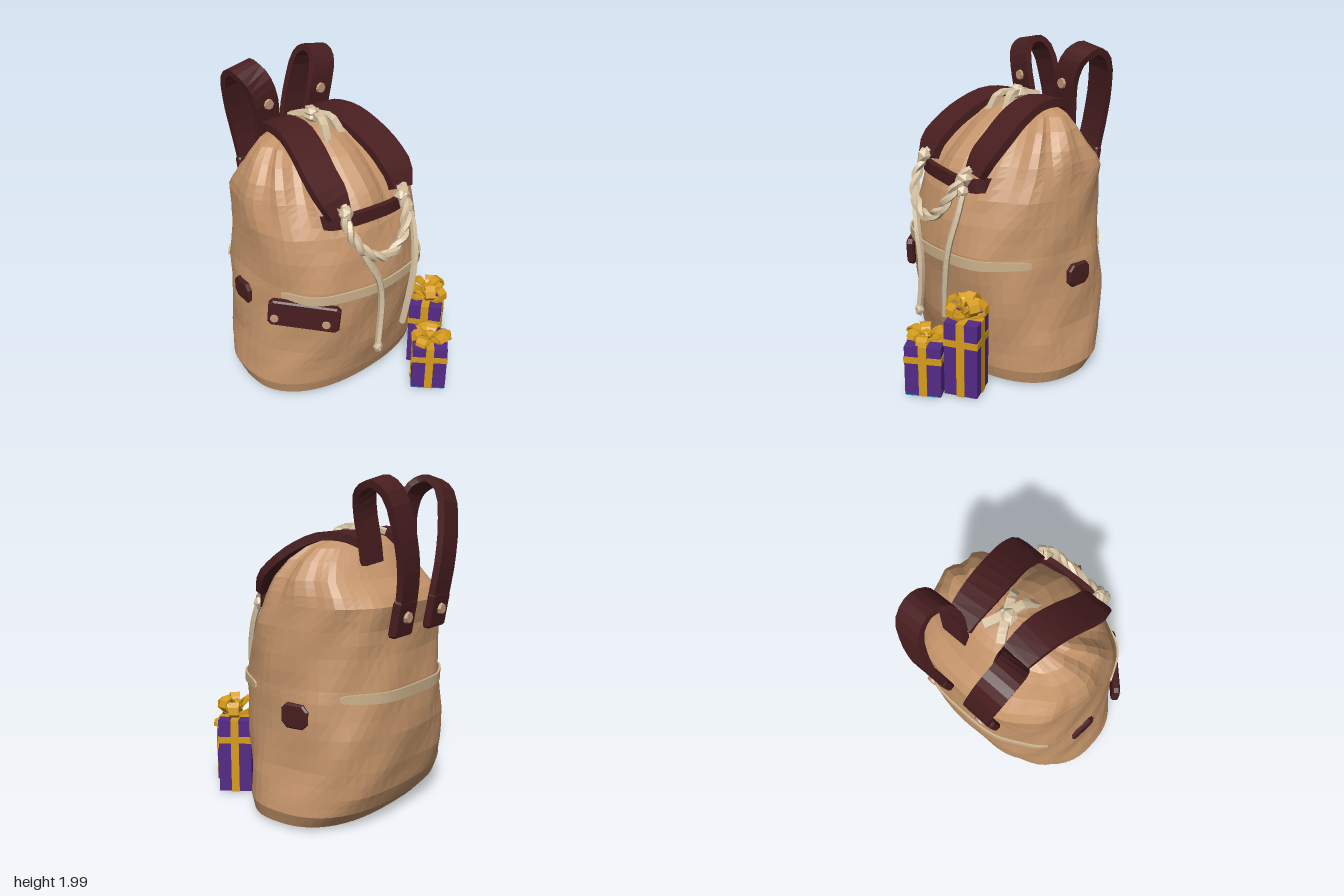
import * as THREE from 'three';

const V = (x, y, z) => new THREE.Vector3(x, y, z);
const mat = (name, color) => Object.assign(new THREE.MeshStandardMaterial({ color }), { name });

// faceted copy of any geometry
function flat(geo) {
  const g = geo.index ? geo.toNonIndexed() : geo;
  g.computeVertexNormals();
  return g;
}

// skin over equal-length rings, capped at both ends
function loft(rings) {
  const n = rings[0].length, m = rings.length, pos = [], idx = [];
  rings.forEach(r => r.forEach(p => pos.push(p.x, p.y, p.z)));
  for (let i = 0; i < m - 1; i++) for (let j = 0; j < n; j++) {
    const a = i * n + j, b = i * n + (j + 1) % n;
    idx.push(a, b, b + n, a, b + n, a + n);
  }
  [0, m - 1].forEach(i => {
    const c = rings[i].reduce((s, p) => s.add(p), V(0, 0, 0)).divideScalar(n);
    const k = pos.push(c.x, c.y, c.z) / 3 - 1;
    for (let j = 0; j < n; j++) {
      const a = i * n + j, b = i * n + (j + 1) % n;
      if (i) idx.push(k, a, b); else idx.push(k, b, a);
    }
  });
  const g = new THREE.BufferGeometry();
  g.setAttribute('position', new THREE.Float32BufferAttribute(pos, 3));
  g.setIndex(idx);
  return flat(g);
}

// strap of rectangular section along a smooth path; side is its width direction
function band(pts, width, thick, side, steps = 16, taper = () => 1) {
  const curve = new THREE.CatmullRomCurve3(pts.map(p => V(...p)));
  const rings = [];
  for (let i = 0; i <= steps; i++) {
    const u = i / steps, p = curve.getPoint(u), t = curve.getTangent(u);
    const w = side.clone().addScaledVector(t, -side.dot(t)).normalize();
    const nrm = t.cross(w).multiplyScalar(thick / 2);
    w.multiplyScalar(width * taper(u) / 2);
    rings.push([[1, 1], [-1, 1], [-1, -1], [1, -1]].map(([a, b]) =>
      p.clone().addScaledVector(w, a).addScaledVector(nrm, b)));
  }
  return loft(rings);
}

// two-strand twisted rope
function ropeStrands(pts, r, turns) {
  const c = new THREE.CatmullRomCurve3(pts.map(p => V(...p))), n = 48;
  const f = c.computeFrenetFrames(n);
  return [0, Math.PI].map(ph => {
    const path = [];
    for (let i = 0; i <= n; i++) {
      const a = ph + turns * 2 * Math.PI * i / n;
      path.push(c.getPointAt(i / n).addScaledVector(f.normals[i], Math.cos(a) * r * 0.5)
        .addScaledVector(f.binormals[i], Math.sin(a) * r * 0.5));
    }
    return flat(new THREE.TubeGeometry(new THREE.CatmullRomCurve3(path), 64, r * 0.8, 5));
  });
}

const cord = (pts, r) => flat(new THREE.TubeGeometry(
  new THREE.CatmullRomCurve3(pts.map(p => V(...p))), 14, r, 5));

// patch with cut corners, facing +z
function plate(w, h, d, c) {
  const x = w / 2, y = h / 2;
  const s = new THREE.Shape([[x - c, -y], [x, c - y], [x, y - c], [x - c, y], [c - x, y], [-x, y - c], [-x, c - y], [c - x, -y]]
    .map(p => new THREE.Vector2(...p)));
  return flat(new THREE.ExtrudeGeometry(s, { depth: d - 0.02, bevelSize: 0.01, bevelThickness: 0.01, bevelSegments: 1, bevelOffset: -0.01 }));
}

// bag cross-sections: height, half width, back z, front z
const RINGS = [
  [0, .58, -.46, .22], [.02, .65, -.54, .27], [.1, .675, -.615, .295], [.2, .655, -.66, .315],
  [.35, .625, -.69, .345], [.55, .61, -.705, .37], [.75, .595, -.695, .395], [.82, .585, -.69, .395],
  [1, .58, -.665, .36], [1.15, .575, -.66, .31], [1.28, .56, -.685, .24], [1.34, .55, -.645, .2],
  [1.42, .525, -.56, .13], [1.52, .465, -.495, .03], [1.59, .39, -.445, -.07], [1.63, .26, -.4, -.15], [1.65, .06, -.33, -.22]];

function bagPoint(s, th) {
  const i = Math.min(Math.floor(s), RINGS.length - 2), f = s - i;
  const [y, hx, zb, zf] = RINGS[i].map((v, k) => v + (RINGS[i + 1][k] - v) * f);
  const top = THREE.MathUtils.smoothstep(y, 1.05, 1.55), mid = THREE.MathUtils.smoothstep(y, .05, .3);
  // squarer at the back than at the front
  const power = Math.cos(th) < 0 ? 2.65 - .35 * top : 2.25;
  const pw = v => Math.sign(v) * Math.pow(Math.abs(v), 2 / power);
  const front = .5 + .5 * Math.cos(th);
  // gathered pleats near the top, slanting creases in the cloth
  const k = 1 + top * (.01 + .09 * front * front) * Math.cos(12 * th)
    + mid * (.012 * Math.sin(5 * th + 7 * y) + .009 * Math.sin(9 * th - 13 * y));
  return V(hx * pw(Math.sin(th)) * k, y, (zb + zf) / 2 + (zf - zb) / 2 * pw(Math.cos(th)) * k);
}

export function createModel() {
  const root = new THREE.Group();
  root.name = 'drawstringBackpackWithGifts';
  const cloth = mat('tanCloth', 0xc4946a), leather = mat('darkLeather', 0x491e20), cream = mat('creamCord', 0xd8c4a4);
  const seamTan = mat('seamTan', 0xcdb28c), stud = mat('studTan', 0xc69a78), purple = mat('purplePaper', 0x542a86);
  const gold = mat('goldRibbon', 0xd69c1c), teal = mat('tealPaper', 0x1a9fbd);
  const add = (name, geo, m, parent = root) => {
    const o = new THREE.Mesh(geo, m);
    o.name = name;
    parent.add(o);
    return o;
  };
  const X = V(1, 0, 0), Y = V(0, 1, 0);

  // bag
  const N = 52, rings = [];
  for (let s = 0; s <= RINGS.length - 1; s += .5)
    rings.push(Array.from({ length: N }, (_, j) => bagPoint(s, 2 * Math.PI * j / N)));
  add('bag', loft(rings), cloth);

  // light seam strips on the front and back
  const seam = (name, from, to) => {
    const pts = [];
    for (let j = from; j <= to; j++) {
      const p = bagPoint(6.5, 2 * Math.PI * j / N);
      pts.push([p.x * 1.012, p.y - .005, (p.z + .16) * 1.018 - .16]);
    }
    add(name, band(pts, .064, .012, Y, (to - from) * 2, u => .4 + .6 * Math.pow(Math.sin(Math.PI * u), .3)), seamTan);
  };
  seam('frontSeam', -10, 10);
  seam('backSeam', 18, 34);

  const button = (x, y, z, ry, r = .036) => {
    const b = add('button', flat(new THREE.CylinderGeometry(r * .85, r, .024, 8).rotateX(Math.PI / 2)), stud);
    b.position.set(x, y, z);
    b.rotation.y = ry;
  };

  // straps, mirrored
  const strapTaper = u => u > .8 ? 1 - (u - .8) * 1.5 : Math.min(1, .75 + u * .8);
  for (const s of [-1, 1]) {
    add('frontStrap', band([[.18 * s, 1.61, -.46], [.19 * s, 1.645, -.36], [.205 * s, 1.645, -.2], [.235 * s, 1.58, -.04],
      [.262 * s, 1.49, .09], [.265 * s, 1.39, .2], [.25 * s, 1.29, .25]], .215, .05, X, 14, strapTaper), leather);
    add('shoulderLoop', band([[.185 * s, 1.5, -.485], [.195 * s, 1.62, -.475], [.22 * s, 1.78, -.46], [.255 * s, 1.89, -.48],
      [.28 * s, 1.94, -.53], [.285 * s, 1.955, -.6], [.275 * s, 1.89, -.68], [.24 * s, 1.7, -.725], [.2 * s, 1.5, -.735],
      [.18 * s, 1.32, -.715], [.18 * s, 1.14, -.685]], .17, .042, V(1, -.18 * s, 0), 22), leather);
    const tab = add('strapEndTab', plate(.19, .21, .05, .012), leather);
    tab.position.set(.185 * s, 1.215, -.68);
    tab.rotation.set(.17, Math.PI, 0, 'YXZ');
    button(.205 * s, 1.745, -.437, 0);
    button(.185 * s, 1.22, -.73, Math.PI);
    const patch = add('sidePatch', plate(.18, .145, .04, .035), leather);
    patch.position.set(.588 * s, .665, -.26);
    patch.rotation.y = s * (Math.PI / 2 + .1);
  }
  add('crossHandle', band([[-.32, 1.24, .12], [-.31, 1.245, .22], [-.2, 1.25, .28], [0, 1.235, .295], [.16, 1.225, .29],
    [.29, 1.23, .25], [.32, 1.24, .12]], .08, .035, Y), leather);

  // pocket flap on the bag's front right corner
  const flap = add('pocketFlap', plate(.44, .18, .05, .025), leather);
  flap.position.set(-.475, .66, .185);
  flap.rotation.set(0, -.82, -.1, 'YXZ');
  button(-.41, .615, .31, -.82, .03);
  button(-.625, .645, .08, -.82, .03);

  // rope and hanging cords
  ropeStrands([[-.24, 1.35, .26], [-.245, 1.2, .34], [-.17, 1.07, .4], [-.03, 1.0, .42], [.11, 1.06, .41],
    [.19, 1.2, .36], [.23, 1.33, .27]], .028, 5).forEach(g => add('rope', g, cream));
  const knot = (x, y, z, a, b, c, m = cream, parent = root) => {
    const k = add('knot', flat(new THREE.IcosahedronGeometry(1, 0)), m, parent);
    k.position.set(x, y, z);
    k.scale.set(a, b, c);
  };
  knot(-.235, 1.31, .29, .045, .055, .045);
  knot(.215, 1.27, .3, .055, .05, .05);
  knot(.24, 1.2, .33, .035, .045, .04);
  add('leftCord', cord([[.245, 1.2, .33], [.25, 1.08, .37], [.22, .85, .425], [.18, .6, .425], [.15, .4, .41]], .021), cream);
  add('rightCord', cord([[-.21, 1.13, .37], [-.16, 1.0, .41], [-.1, .87, .435], [-.07, .7, .435], [-.08, .5, .435], [-.095, .38, .44]], .022), cream);
  knot(-.095, .355, .44, .034, .05, .029);

  // drawstring knot on top
  knot(0, 1.67, -.26, .065, .05, .06);
  knot(-.015, 1.7, -.26, .045, .032, .05);
  [[-.06, 1.51, -.06], [.08, 1.55, -.1], [-.08, 1.63, -.4], [.06, 1.64, -.38]].forEach(([x, y, z]) =>
    add('drawstringEnd', band([[0, 1.69, -.26], [x * .6, 1.68, -.26 + (z + .26) * .6], [x, y + .03, z]], .05, .028, X, 5), cream));

  // gift boxes with ribbons and bows
  const gift = (name, x, z, ry, w, y0, h, ringY, bow) => {
    const g = new THREE.Group();
    g.name = name;
    g.position.set(x, y0, z);
    g.rotation.y = ry;
    root.add(g);
    const box = (n, a, b, c, y, m) => add(n, new THREE.BoxGeometry(a, b, c), m, g).position.set(0, y, 0);
    box('giftBox', w, h, w, h / 2, purple);
    box('ribbonRound', w + .008, .042, w + .008, ringY, gold);
    box('ribbonAcross', w + .01, h + .006, .05, h / 2, gold);
    box('ribbonAlong', .05, h + .006, w + .01, h / 2, gold);
    const b = new THREE.Group();
    b.name = 'bow';
    b.position.y = h;
    b.scale.set(bow[0], bow[1], bow[0]);
    g.add(b);
    for (let i = 0; i < 6; i++) {
      const l = add('bowLoop', band([[0, .01, 0], [.05, .08, 0], [.1, .1, 0], [.13, .05, 0], [.07, .015, 0], [0, .01, 0]],
        .065, .012, V(0, 0, 1), 8, u => .5 + .5 * Math.sin(Math.PI * u)), gold, b);
      l.rotation.set(0, i * 1.047 + .3 * (i % 2), .25 * (i % 2));
    }
    knot(0, .06, 0, .045, .05, .045, gold, b);
    return g;
  };
  gift('tallGift', .38, .41, .61, .205, .012, .468, .34, [1, 1.1]);
  const small = gift('smallGift', .225, .59, -.8, .22, .012, .315, .23, [1.02, .6]);
  // teal underside of the small gift
  add('giftUnderside', new THREE.BoxGeometry(.21, .009, .21), teal, small).position.y = -.005;
  add('undersideRibbon', new THREE.BoxGeometry(.05, .0095, .214), gold, small).position.y = -.0065;
  return root;
}
